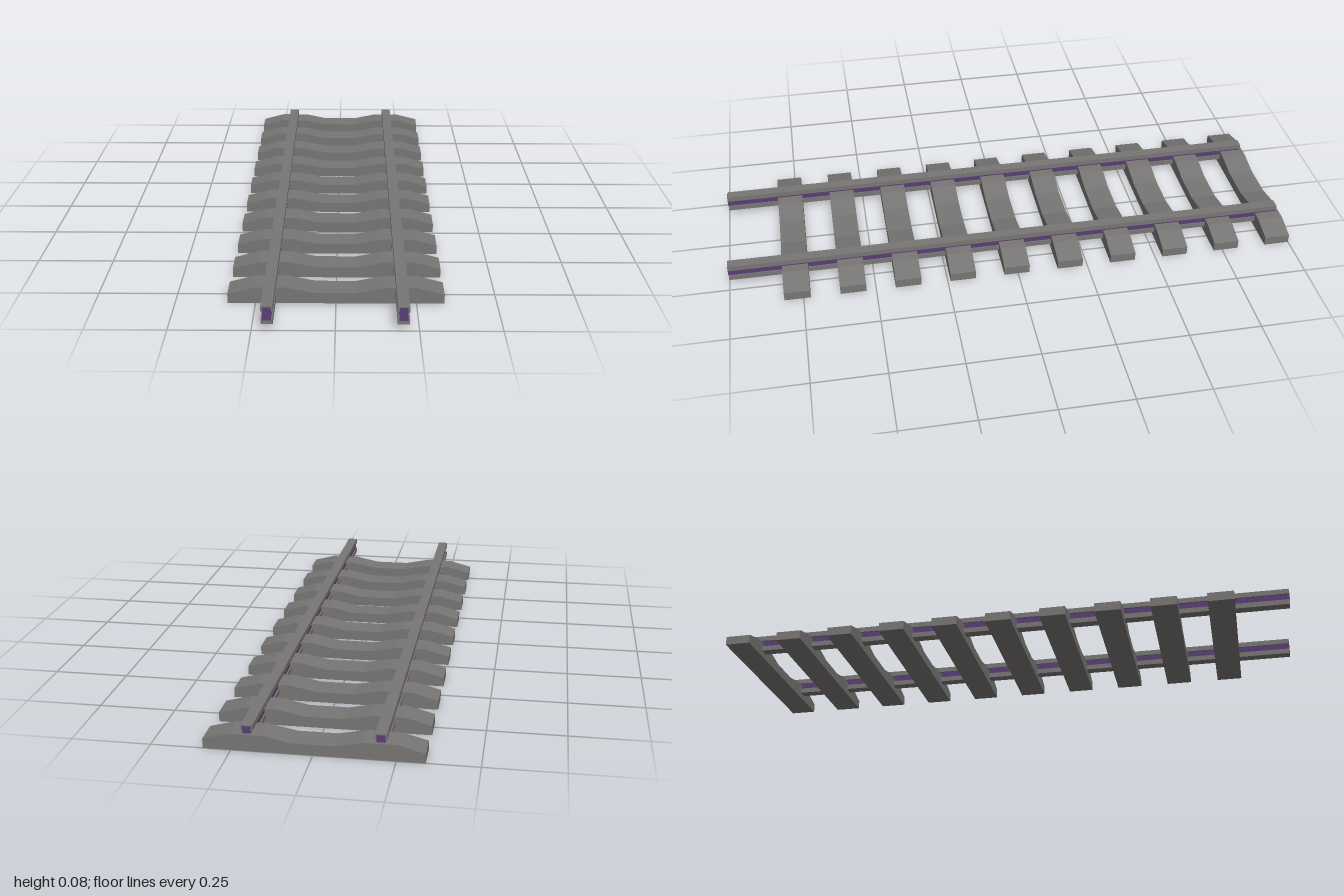
import * as THREE from 'three';

export function createModel() {
  const model = new THREE.Group();
  model.name = 'railwayTrack';

  const grey = new THREE.MeshStandardMaterial({ color: 0x777674 });
  grey.name = 'concreteGrey';
  const purple = new THREE.MeshStandardMaterial({ color: 0x593d74 });
  purple.name = 'webPurple';

  // Sleeper: raised seats under the rails, low waist, sloping ends
  const half = [[0.063, 0.035], [0.152, 0.053], [0.254, 0.053], [0.337, 0.031], [0.337, 0]];
  const outline = [
    ...half.map(([x, y]) => new THREE.Vector2(x, y)),
    ...half.slice().reverse().map(([x, y]) => new THREE.Vector2(-x, y)),
  ];
  const depth = 0.09;
  const sleeperGeometry = new THREE.ExtrudeGeometry(new THREE.Shape(outline), { depth, bevelEnabled: false });
  for (let i = 0; i < 10; i++) {
    const sleeper = new THREE.Mesh(sleeperGeometry, grey);
    sleeper.name = 'sleeper' + (i + 1);
    sleeper.position.z = -1 + i * 0.1917;
    model.add(sleeper);
  }

  // Rails: head, web and foot bars; the web runs a hair past the others
  const bar = (name, width, bottom, top, length, material) => {
    const mesh = new THREE.Mesh(new THREE.BoxGeometry(width, top - bottom, length), material);
    mesh.name = name;
    mesh.position.set(0, (bottom + top) / 2, 0.005);
    return mesh;
  };
  for (const side of [-1, 1]) {
    const rail = new THREE.Group();
    rail.name = side > 0 ? 'leftRail' : 'rightRail';
    rail.position.x = side * 0.203;
    rail.add(
      bar('railHead', 0.036, 0.061, 0.079, 1.988, grey),
      bar('railWeb', 0.026, 0.033, 0.076, 1.99, purple),
      bar('railFoot', 0.036, 0.021, 0.039, 1.988, grey),
    );
    model.add(rail);
  }

  return model;
}
